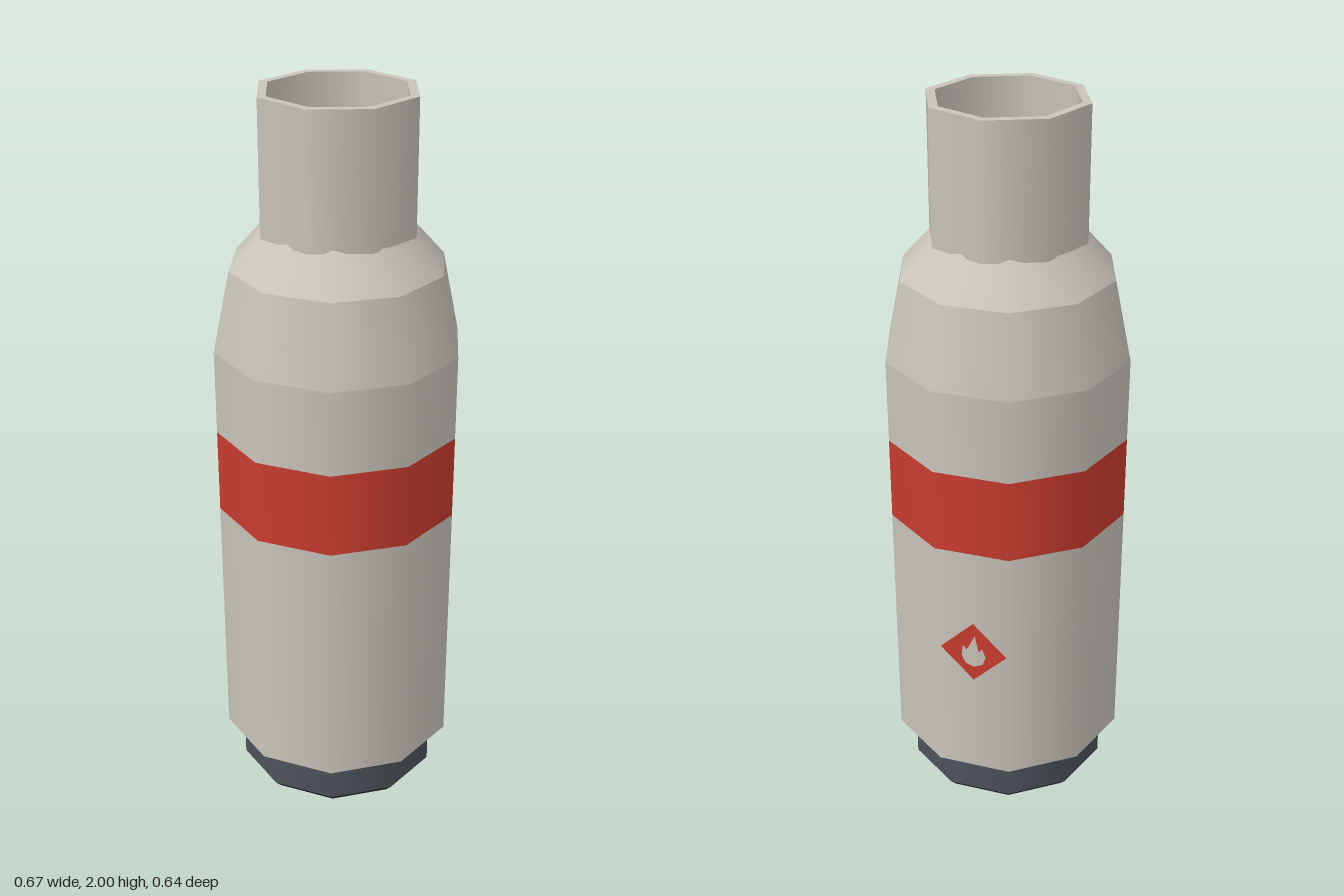
import * as THREE from 'three';
import { mergeGeometries } from 'three/addons/utils/BufferGeometryUtils.js';

const paint = (name, color) => {
  const m = new THREE.MeshStandardMaterial({ color });
  m.name = name;
  return m;
};

// Turned part: smooth around the axis, crisp between profile segments
function turned(profile, sides) {
  const rings = [];
  for (let i = 0; i < profile.length - 1; i++) {
    const pair = [profile[i], profile[i + 1]].map(([r, y]) => new THREE.Vector2(r, y));
    rings.push(new THREE.LatheGeometry(pair, sides, Math.PI / 2));
  }
  return mergeGeometries(rings);
}

export function createModel() {
  const grey = paint('warm grey', 0xc9c4bb);
  const red = paint('red', 0xc93c30);
  const steel = paint('blue steel', 0x4c535a);
  const black = paint('black', 0x2b2c2e);
  const brass = paint('brass', 0xb8923f);

  const model = new THREE.Group();
  model.name = 'gasCylinder';
  const add = (name, geometry, material) => {
    const mesh = new THREE.Mesh(geometry, material);
    mesh.name = name;
    model.add(mesh);
    return mesh;
  };

  // Foot
  add('footCap', turned([[0, 0], [0.262, 0], [0.285, 0.025]], 10), black);
  add('footRing', turned([[0.285, 0.025], [0.285, 0.115]], 10), steel);

  // Bottle with a painted band
  add('lowerBody', turned([[0.28, 0.112], [0.333, 0.152], [0.333, 0.87]], 10), grey);
  add('band', turned([[0.333, 0.87], [0.333, 1.103]], 10), red);
  add('upperBody', turned([[0.333, 1.103], [0.333, 1.335], [0.287, 1.553],
    [0.205, 1.645], [0.088, 1.776]], 10), grey);
  add('neck', turned([[0.088, 1.776], [0.088, 1.79], [0, 1.79]], 10), grey);

  // Open guard collar
  add('collar', turned([[0.188, 1.645], [0.212, 1.645], [0.212, 2],
    [0.188, 2], [0.188, 1.645]], 8), grey);

  // Valve inside the collar
  const valve = add('valve', new THREE.CylinderGeometry(0.083, 0.083, 0.08, 6), red);
  valve.position.y = 1.83;
  const nozzle = add('nozzle', new THREE.CylinderGeometry(0.027, 0.027, 0.1, 10), brass);
  nozzle.rotation.z = -Math.PI / 2;
  nozzle.position.set(0.083, 1.83, -0.002);

  // Warning diamond on the back with a flame cut-out
  const d = 0.094;
  const diamond = new THREE.Shape([[0, -d], [d, 0], [0, d], [-d, 0]]
    .map(([x, y]) => new THREE.Vector2(x, y)));
  diamond.holes.push(new THREE.Path([[0, -0.05], [0.026, -0.038], [0.035, -0.012], [0.025, 0.014],
    [0.015, 0.002], [0.004, 0.055], [-0.012, 0.018], [-0.02, 0.005], [-0.03, 0.018],
    [-0.034, -0.015], [-0.024, -0.04]].map(([x, y]) => new THREE.Vector2(x, y))));
  const label = add('warningDiamond', new THREE.ShapeGeometry(diamond), red);
  label.rotation.y = Math.PI;
  label.position.set(-0.005, 0.56, -0.326);

  // Centre the depth, allowing for the label
  model.position.z = 0.005;
  return model;
}
